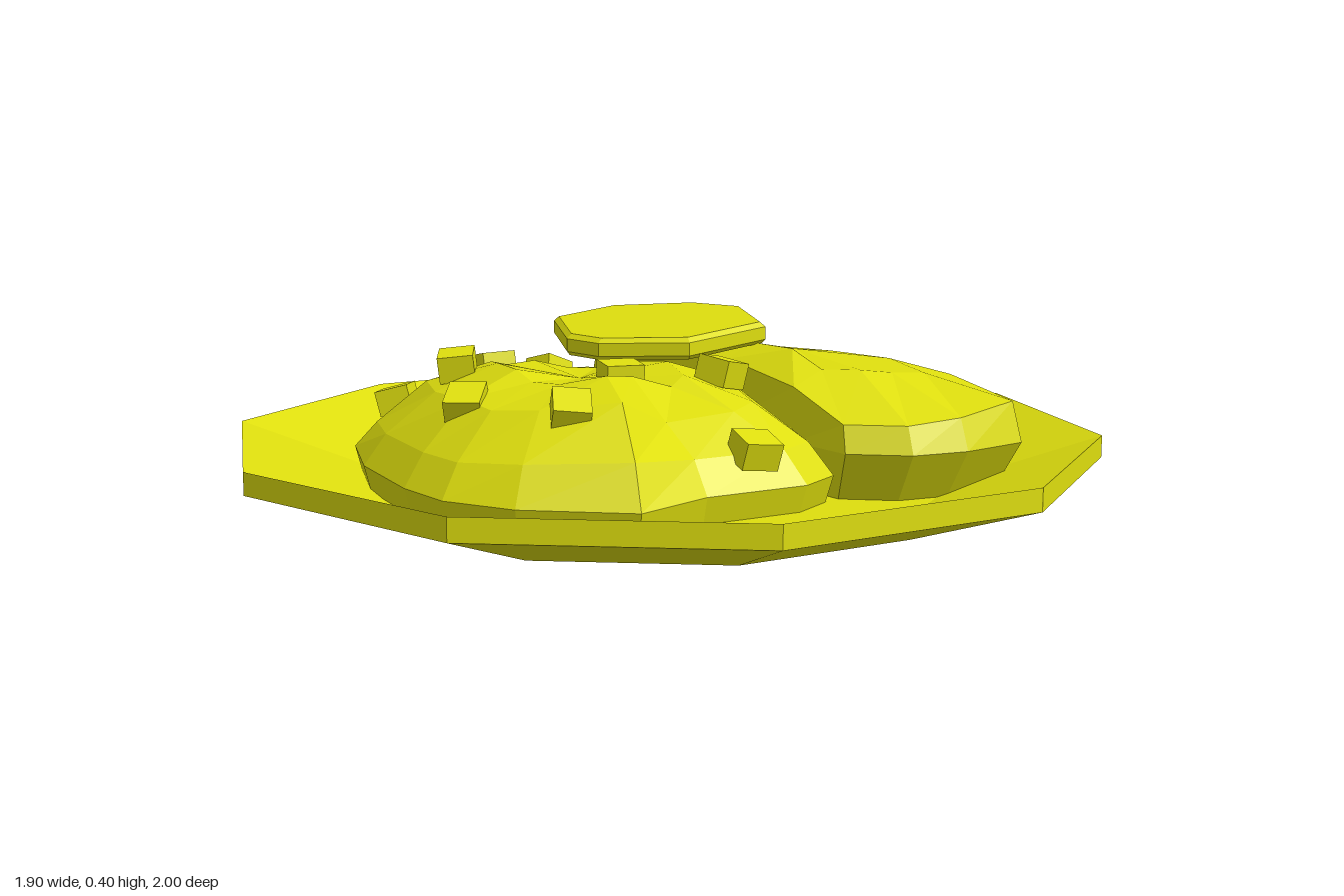
import * as THREE from 'three';

const yellow = new THREE.MeshStandardMaterial({ color: 0xdede0e, flatShading: true });

// Skin stacked rings of [x, y, z], ordered bottom to top, and close both ends with fans
function loft(name, rings, topY) {
  const n = rings[0].length;
  const pos = rings.flat(2);
  const index = [];
  const centre = (ring) => [0, 1, 2].map((k) => ring.reduce((s, p) => s + p[k], 0) / n);
  const first = rings[0];
  const last = rings[rings.length - 1];
  const top = centre(last);
  if (topY !== undefined) top[1] = topY;
  const a = rings.length * n;
  pos.push(...centre(first), ...top);
  for (let j = 0; j < n; j++) {
    const k = (j + 1) % n;
    for (let i = 0; i < rings.length - 1; i++) {
      const lo = i * n, hi = lo + n;
      index.push(lo + j, lo + k, hi + k, lo + j, hi + k, hi + j);
    }
    index.push(a, k, j);
    index.push(a + 1, a - n + j, a - n + k);
  }
  const geo = new THREE.BufferGeometry();
  geo.setAttribute('position', new THREE.Float32BufferAttribute(pos, 3));
  geo.setIndex(index);
  const flat = geo.toNonIndexed();
  flat.computeVertexNormals();
  const mesh = new THREE.Mesh(flat, yellow);
  mesh.name = name;
  return mesh;
}

// Scale an outline of [x, z] about a centre and lift it to one height or one per point
const layer = (outline, [cx, cz], s, y) =>
  outline.map(([x, z], i) => [cx + (x - cx) * s, Array.isArray(y) ? y[i] : y, cz + (z - cz) * s]);

export function createModel() {
  const group = new THREE.Group();

  // Ten-sided dish with a sloping rim
  const decagon = Array.from({ length: 10 }, (_, i) => {
    const t = Math.PI / 2 - (i * Math.PI) / 5;
    return [Math.cos(t), Math.sin(t)];
  }).reverse();
  const ccw = decagon.map(([x, z]) => [-x, z]).reverse().map(([x, z]) => [-x, z]);
  const dish = [[0.69, 0], [1, 0.105], [1, 0.155], [0.69, 0.05]];
  const ordered = ccw[0][0] * ccw[1][1] - ccw[0][1] * ccw[1][0] < 0 ? ccw : ccw.slice().reverse();
  group.add(loft('plate', dish.map(([r, y]) => layer(ordered, [0, 0], r, y))));

  // Lumpy heap on the left of the plate
  const heap = [
    [-0.69, 0.22], [-0.55, 0.43], [-0.35, 0.43], [-0.12, 0.51], [0, 0.49],
    [0.2, 0.2], [0.35, -0.2], [0.37, -0.52], [0.15, -0.55], [-0.02, -0.65],
    [-0.25, -0.65], [-0.46, -0.55], [-0.6, -0.35], [-0.7, -0.1], [-0.73, 0.05],
  ];
  const hc = [-0.2, -0.05];
  group.add(loft('foodHeap', [
    layer(heap, hc, 0.97, 0.05),
    layer(heap, hc, 1, 0.11),
    layer(heap, hc, 0.9, [0.19, 0.2, 0.18, 0.18, 0.18, 0.2, 0.2, 0.17, 0.15, 0.15, 0.16, 0.17, 0.18, 0.18, 0.18]),
    layer(heap, hc, 0.68, [0.28, 0.3, 0.24, 0.25, 0.26, 0.28, 0.28, 0.24, 0.23, 0.24, 0.26, 0.27, 0.27, 0.28, 0.27]),
    layer(heap, hc, 0.4, [0.31, 0.33, 0.32, 0.29, 0.31, 0.32, 0.3, 0.27, 0.28, 0.3, 0.3, 0.32, 0.33, 0.33, 0.31]),
  ], 0.29));

  // Long slab of meat on the right
  const slab = [
    [0, 0.52], [0.08, 0.64], [0.2, 0.7], [0.37, 0.73], [0.51, 0.47], [0.63, 0.1],
    [0.77, -0.39], [0.68, -0.53], [0.37, -0.58], [0.28, -0.38], [0.13, 0.08], [0.04, 0.35],
  ];
  const sc = [0.37, 0.08];
  group.add(loft('meatSlab', [
    layer(slab, sc, 0.9, 0.05),
    layer(slab, sc, 1, 0.16),
    layer(slab, sc, 0.96, [0.22, 0.22, 0.23, 0.25, 0.27, 0.27, 0.23, 0.24, 0.28, 0.3, 0.31, 0.28]),
    layer(slab, sc, 0.6, [0.31, 0.31, 0.3, 0.29, 0.3, 0.29, 0.27, 0.27, 0.3, 0.32, 0.34, 0.345]),
  ], 0.315));

  // Tilted eight-sided slice lying on top
  const octagon = [
    [-0.12, -0.09], [-0.01, 0.09], [0.24, 0.11], [0.4, -0.09],
    [0.39, -0.24], [0.26, -0.4], [0.06, -0.41], [-0.11, -0.2],
  ];
  const oc = [0.14, -0.15];
  const tilt = (y) => octagon.map(([x]) => y + 0.06 * (x - oc[0]));
  group.add(loft('topSlice', [
    layer(octagon, oc, 0.97, tilt(0.333)),
    layer(octagon, oc, 1, tilt(0.342)),
    layer(octagon, oc, 1, tilt(0.372)),
    layer(octagon, oc, 0.95, tilt(0.383)),
  ]));

  // Small diced pieces scattered over the heap
  const dice = [
    [-0.31, 0.2, -0.57], [0.1, 0.23, -0.47], [-0.16, 0.28, -0.4],
    [-0.39, 0.32, -0.27], [-0.54, 0.27, -0.08], [-0.22, 0.31, 0.07],
    [-0.5, 0.28, 0.19], [-0.03, 0.31, 0.2], [-0.21, 0.19, 0.44],
  ];
  const cube = new THREE.BoxGeometry(0.085, 0.06, 0.08);
  const turns = [0.6, 0.05, -0.25, 0.75, 0.6, -0.5, 0.85, 0.1, -0.4];
  dice.forEach(([x, y, z], i) => {
    const bit = new THREE.Mesh(cube, yellow);
    bit.name = 'dicedPiece' + (i + 1);
    bit.position.set(x, y, z);
    bit.rotation.set((z - hc[1]) * 0.6, turns[i], -(x - hc[0]) * 1.2);
    group.add(bit);
  });

  return group;
}
